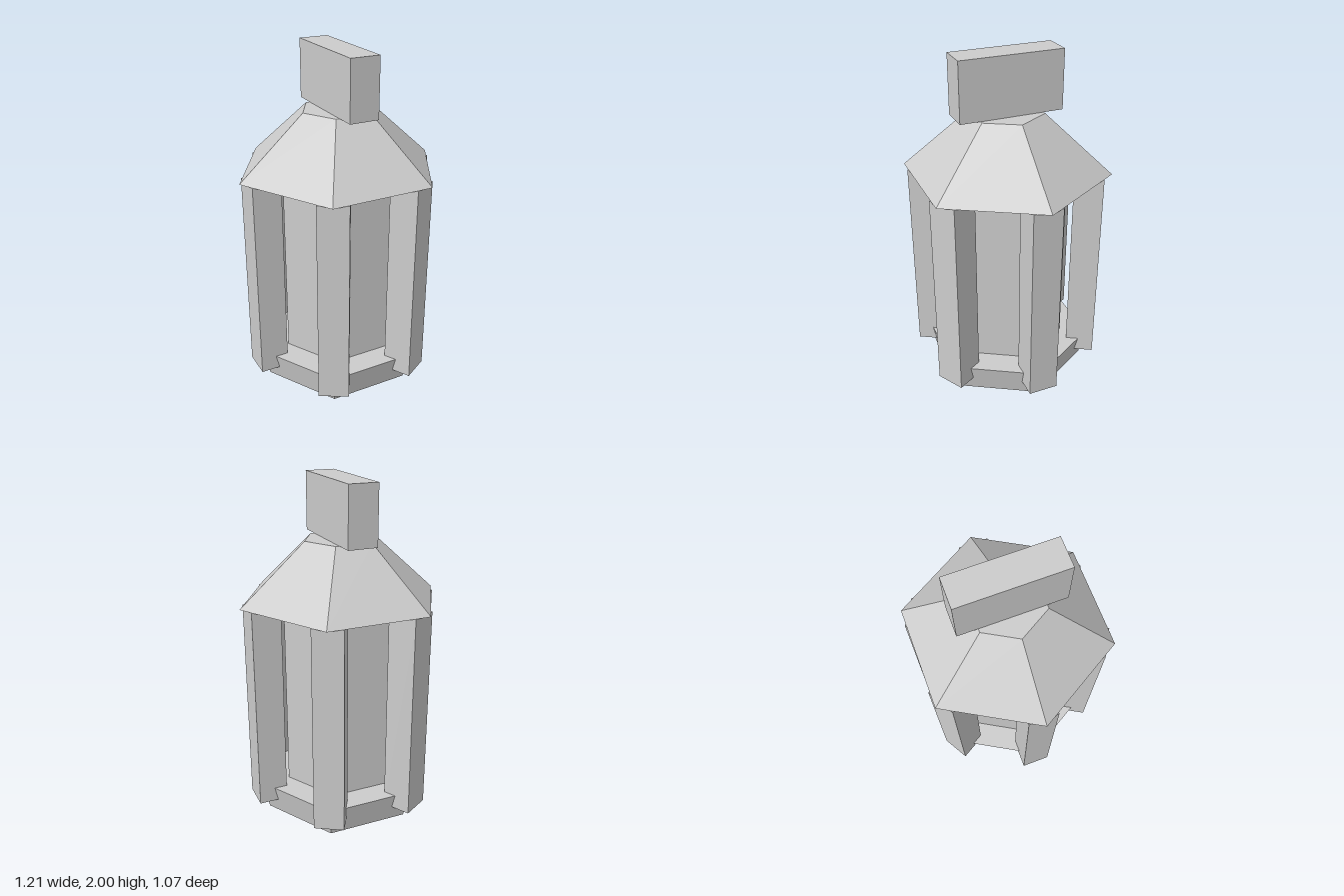
import * as THREE from 'three';

export function createModel() {
  const group = new THREE.Group();
  group.name = 'lantern';
  const grey = new THREE.MeshStandardMaterial({ color: 0xcccccc });
  grey.name = 'light grey';

  const add = (geometry, name) => {
    const mesh = new THREE.Mesh(geometry, grey);
    mesh.name = name;
    group.add(mesh);
    return mesh;
  };

  // Six-sided faceted prism or frustum between two heights, corners on the x axis
  const hexagon = (name, bottomRadius, topRadius, y0, y1) => {
    const smooth = new THREE.CylinderGeometry(topRadius, bottomRadius, y1 - y0, 6);
    smooth.rotateY(Math.PI / 6);
    smooth.translate(0, (y0 + y1) / 2, 0);
    const faceted = smooth.toNonIndexed();
    faceted.computeVertexNormals();
    return add(faceted, name);
  };

  hexagon('base', 0.48, 0.522, 0, 0.175);
  hexagon('core', 0.35, 0.35, 0.175, 1.22);
  hexagon('roof', 0.607, 0.217, 1.305, 1.655);

  // Square posts, one on each corner of the hexagon
  const postBottom = 0.09, postTop = 1.305;
  for (let i = 0; i < 6; i++) {
    const post = new THREE.BoxGeometry(0.17, postTop - postBottom, 0.175);
    post.translate(0.48, (postTop + postBottom) / 2, 0);
    post.rotateY((i * Math.PI) / 3);
    add(post, `post${i + 1}`);
  }

  // Block handle on the flat top of the roof
  const handle = new THREE.BoxGeometry(0.175, 0.345, 0.61);
  handle.translate(0, 1.8275, 0);
  add(handle, 'handle');

  return group;
}
